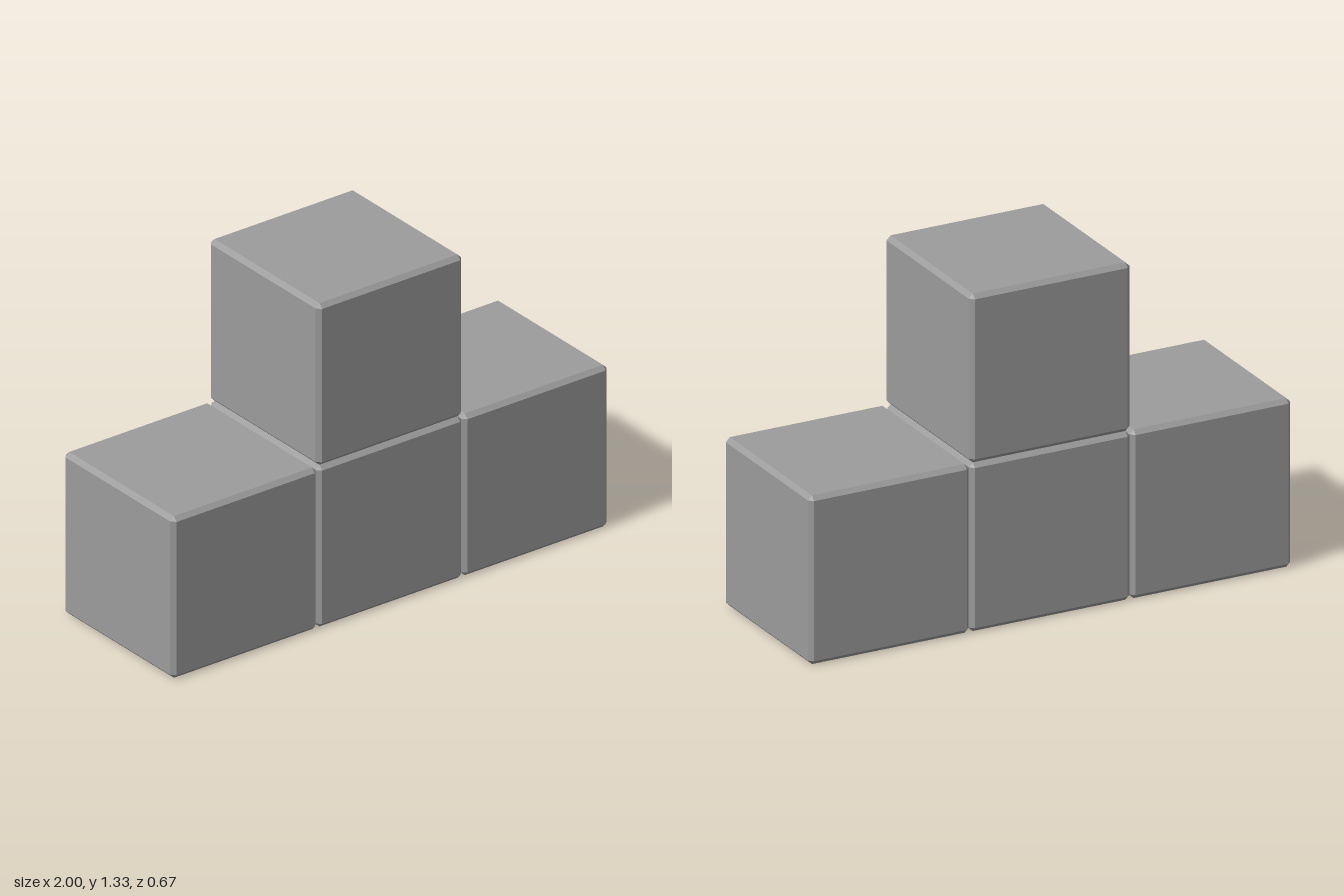
import * as THREE from 'three';
import { ConvexGeometry } from 'three/addons/geometries/ConvexGeometry.js';

const SIZE = 2 / 3;
const BEVEL = 0.017;

// Cube with flat chamfered edges: three points around each corner
function chamferedCube(size, bevel) {
  const h = size / 2, i = h - bevel;
  const points = [];
  for (const x of [-1, 1]) for (const y of [-1, 1]) for (const z of [-1, 1]) {
    points.push(
      new THREE.Vector3(x * h, y * i, z * i),
      new THREE.Vector3(x * i, y * h, z * i),
      new THREE.Vector3(x * i, y * i, z * h)
    );
  }
  return new ConvexGeometry(points);
}

export function createModel() {
  const group = new THREE.Group();
  group.name = 'tBlock';
  const geometry = chamferedCube(SIZE, BEVEL);
  const material = new THREE.MeshStandardMaterial({ color: 0x9c9c9c, flatShading: true });

  // Row of three cubes with one on top of the middle: name, column, row
  const cubes = [
    ['rightCube', -1, 0],
    ['middleCube', 0, 0],
    ['leftCube', 1, 0],
    ['topCube', 0, 1],
  ];
  for (const [name, column, row] of cubes) {
    const cube = new THREE.Mesh(geometry, material);
    cube.name = name;
    cube.position.set(column * SIZE, (row + 0.5) * SIZE, 0);
    group.add(cube);
  }
  return group;
}
